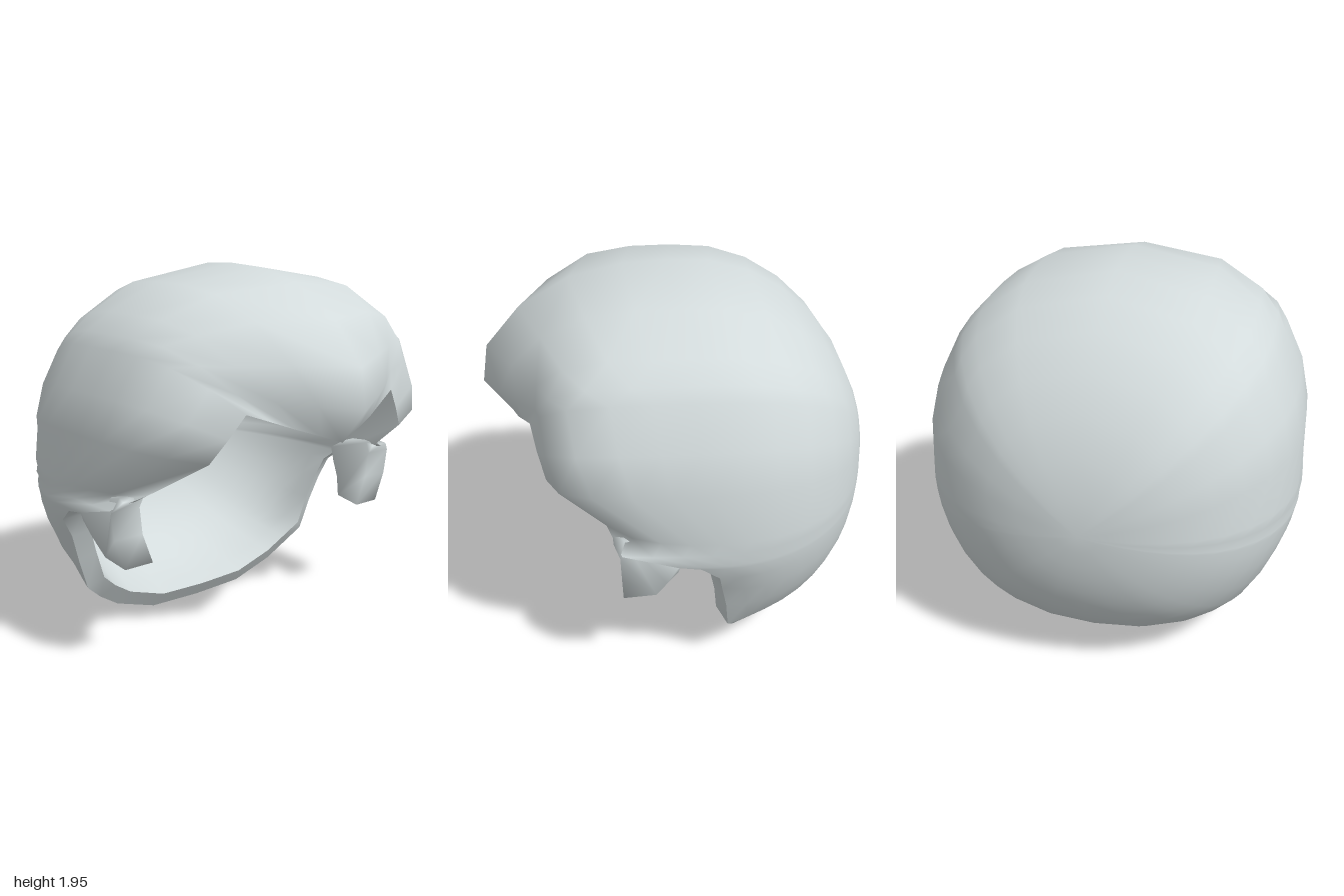
import * as THREE from 'three';
import { mergeVertices } from 'three/addons/utils/BufferGeometryUtils.js';

const CENTRE = new THREE.Vector3(0, 0.95, -0.08);
const ROWS = 14;      // steps from the back of the head to the hairline
const THICK = 0.09;   // shell thickness relative to the radius

// Hairline of the left half: nape centre, ear notch, temple, fringe tip
const HAIRLINE = [
  [0, 0.005, -0.31], [0.31, 0.015, -0.31], [0.56, 0.1, -0.3], [0.68, 0.18, -0.28],
  [0.78, 0.27, -0.24], [0.84, 0.45, -0.22], [0.89, 0.6, -0.19], [0.95, 0.71, -0.17],
  [0.965, 0.78, -0.08], [0.97, 0.8, 0.03], [0.96, 0.87, 0.29], [0.79, 0.93, 0.36],
  [0.65, 1.11, 0.64], [0.57, 1.22, 0.68], [0.49, 1.33, 0.71], [0.37, 1.285, 0.75],
  [0.25, 1.24, 0.79], [0.12, 1.195, 0.82], [0, 1.15, 0.84],
];
const FRINGE_START = 11; // from here on the edge tapers to nothing

// Rounded head volume plus the pointed quiff, along a direction from the centre
function hull(dir) {
  const x = Math.abs(dir.x) / 0.985;
  const y = Math.abs(dir.y) / (dir.y > 0 ? 1.01 : 0.945);
  const front = dir.z > 0;
  const z = Math.abs(dir.z) / (front ? 0.81 : 0.92);
  // boxier around the flanks, rounder over the crown
  const up = dir.y > 0 ? y * y / (x * x + y * y) : 0;
  const m = front ? 4.8 - 1.4 * up * up : 2.3 - 0.35 * up;
  const rho = Math.pow(x ** 2.3 + y ** 2.3, 1 / 2.3);
  const p = dir.clone().divideScalar(Math.pow(rho ** m + z ** m, 1 / m)).add(CENTRE);
  const spread = p.y > 1.38 ? 0.46 : 0.28;
  const lift = Math.exp(-(((p.y - 1.38) / spread) ** 2));
  p.z += 0.28 * Math.max(0, 1 - Math.abs(p.x) / 0.52) * lift * THREE.MathUtils.smoothstep(p.z, 0.2, 0.6);
  return p;
}

// Full hairline loop, mirrored
function hairlineLoop() {
  const half = HAIRLINE.map((c, i) => ({ p: new THREE.Vector3(...c), taper: i >= FRINGE_START ? 1 : 0 }));
  const mirrored = half.slice(1, -1).reverse().map(({ p, taper }) => (
    { p: new THREE.Vector3(-p.x, p.y, p.z), taper }));
  return [...half, ...mirrored];
}

// One column of outer and inner points, from the back pole to the hairline
function column({ p, taper }) {
  const d = p.clone().sub(CENTRE).normalize();
  const theta = Math.atan2(d.y, d.x);
  const end = Math.acos(-d.z);
  const fix = p.clone().sub(hull(d));
  const outer = [], inner = [];
  for (let i = 0; i <= ROWS; i++) {
    const t = i / ROWS, a = end * t;
    const dir = i === 0 ? new THREE.Vector3(0, 0, -1) : new THREE.Vector3(
      Math.sin(a) * Math.cos(theta), Math.sin(a) * Math.sin(theta), -Math.cos(a));
    const q = hull(dir).addScaledVector(fix, t ** 9);
    const r = q.clone().lerp(CENTRE, THICK * (1 - taper * t ** 6));
    r.z += 0.04 * (1 - taper) * t ** 8; // slants the rim forwards
    outer.push(q);
    inner.push(r);
  }
  return { outer, inner };
}

// Weld equal corners so the surface shades smoothly
function smooth(geometry) {
  geometry.deleteAttribute('normal');
  geometry.deleteAttribute('uv');
  const g = mergeVertices(geometry, 1e-5);
  g.computeVertexNormals();
  return g;
}

// Skin a closed loop of columns
function skin(columns) {
  const pos = [], index = [];
  const n = columns.length, rows = columns[0].length;
  columns.forEach((c) => c.forEach((v) => pos.push(v.x, v.y, v.z)));
  for (let j = 0; j < n; j++) {
    for (let i = 0; i < rows - 1; i++) {
      const a = j * rows + i, b = ((j + 1) % n) * rows + i;
      index.push(a, b, a + 1, b, b + 1, a + 1);
    }
  }
  const g = new THREE.BufferGeometry();
  g.setAttribute('position', new THREE.Float32BufferAttribute(pos, 3));
  g.setIndex(index);
  return smooth(g);
}

// Sideburn: side outline extruded across x, bending inwards towards its tip
function sideburn(side) {
  const outline = [[0.29, 0.56], [0.13, 0.58], [0.08, 0.68], [0.03, 0.76],
    [0.0, 0.84], [0.1, 0.9], [0.28, 0.92], [0.33, 0.91], [0.3, 0.86], [0.295, 0.72]];
  const shape = new THREE.Shape(outline.map(([z, y]) => new THREE.Vector2(-z, y)));
  const g = new THREE.ExtrudeGeometry(shape, { depth: 0.16, bevelEnabled: false });
  g.rotateY(Math.PI / 2); // outline now lies in z and y, depth runs along x
  g.translate(side > 0 ? 0.8 : -0.96, 0, 0);
  const pos = g.attributes.position;
  for (let i = 0; i < pos.count; i++) {
    const x = pos.getX(i), y = pos.getY(i);
    const bend = 0.85 * Math.max(0, 0.86 - y) ** 2;
    const tuck = Math.abs(x) > 0.9 ? Math.max(0, y - 0.86) : 0; // hides the root in the shell
    pos.setX(i, x - side * (bend + tuck));
  }
  return smooth(g);
}

export function createModel() {
  const model = new THREE.Group();
  model.name = 'hair';
  const hair = new THREE.MeshStandardMaterial({ color: 0xd3dbdc });
  hair.name = 'pale grey hair';
  const add = (name, geometry) => {
    const mesh = new THREE.Mesh(geometry, hair);
    mesh.name = name;
    model.add(mesh);
  };

  const columns = hairlineLoop().map(column);
  add('outerHair', skin(columns.map((c) => c.outer)));
  add('innerHair', skin(columns.map((c) => [...c.inner].reverse())));
  add('hairlineRim', skin(columns.map((c) => [c.outer[ROWS], c.inner[ROWS]])));
  add('leftSideburn', sideburn(1));
  add('rightSideburn', sideburn(-1));
  return model;
}
